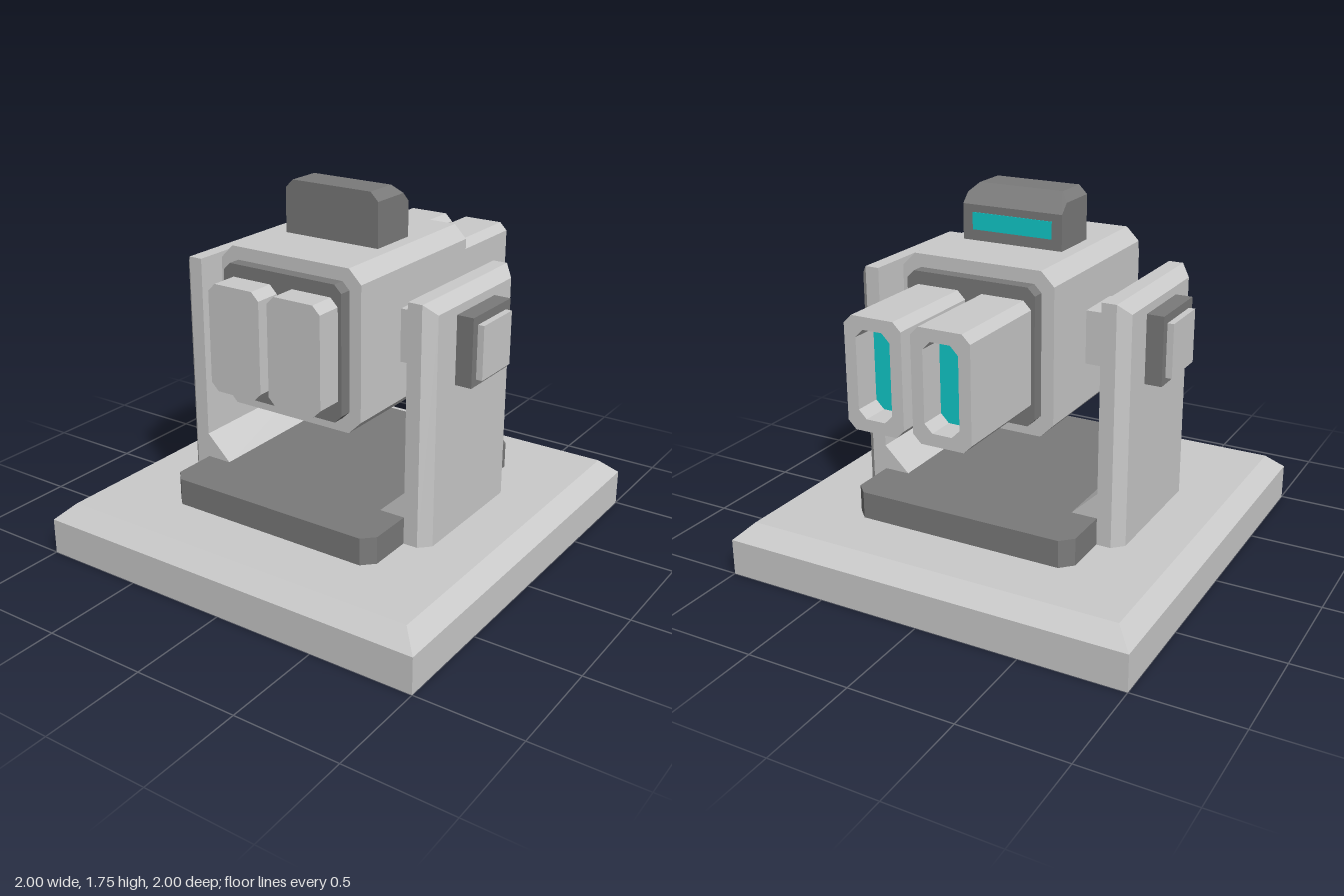
import * as THREE from 'three';
import { ConvexGeometry } from 'three/addons/geometries/ConvexGeometry.js';

const mat = (color) => new THREE.MeshStandardMaterial({ color, flatShading: true });

// rectangle with chamfered corners, traced into a Shape or Path
function octagon(target, cx, cy, w, h, c) {
  const x = w / 2, y = h / 2;
  const pts = [[-x + c, -y], [x - c, -y], [x, -y + c], [x, y - c], [x - c, y], [-x + c, y], [-x, y - c], [-x, -y + c]];
  return target.setFromPoints(pts.map(([a, b]) => new THREE.Vector2(cx + a, cy + b)));
}

// extrusion along z between z0 and z1
function prism(shape, z0, z1) {
  return new THREE.ExtrudeGeometry(shape, { depth: z1 - z0, bevelEnabled: false }).translate(0, 0, z0);
}

const hull = (pts) => new ConvexGeometry(pts.map((p) => new THREE.Vector3(...p)));

export function createModel() {
  const group = new THREE.Group();
  const light = mat(0xcccccc), dark = mat(0x7b7b7b), glow = mat(0x11cccc);

  const add = (name, geometry, material, parent = group) => {
    const mesh = new THREE.Mesh(geometry, material);
    mesh.name = name;
    parent.add(mesh);
    return mesh;
  };
  const box = (name, x0, x1, y0, y1, z0, z1, material, parent) =>
    add(name, new THREE.BoxGeometry(x1 - x0, y1 - y0, z1 - z0)
      .translate((x0 + x1) / 2, (y0 + y1) / 2, (z0 + z1) / 2), material, parent);

  // square base with a sloped top rim
  const basePts = [];
  for (const [r, y] of [[1, 0], [1, 0.175], [0.92, 0.25]])
    for (const sx of [-1, 1]) for (const sz of [-1, 1]) basePts.push([sx * r, y, sz * r]);
  add('base', hull(basePts), light);

  // dark floor plate with clipped corners
  const plate = prism(octagon(new THREE.Shape(), 0, 0, 1.12, 1.28, 0.055), 0.25, 0.38);
  add('floorPlate', plate.rotateX(-Math.PI / 2), dark);

  // head, collar and sensor housing
  add('head', prism(octagon(new THREE.Shape(), 0, 1.125, 0.75, 0.75, 0.063), -0.44, 0.44), light);
  add('collar', prism(octagon(new THREE.Shape(), 0, 1.127, 0.63, 0.625, 0.035), -0.5, 0.5), dark);
  const housing = [];
  for (const s of [-1, 1]) {
    housing.push(
      [s * 0.25, 1.5, 0.125], [s * 0.25, 1.71, 0.125], [s * 0.21, 1.75, 0.125],
      [s * 0.25, 1.5, -0.125], [s * 0.25, 1.665, -0.125],
      [s * 0.25, 1.71, -0.08], [s * 0.21, 1.75, -0.04]);
  }
  add('sensorHousing', hull(housing), dark);
  box('sensorStrip', -0.2, 0.2, 1.55, 1.63, -0.128, -0.1, glow);

  for (const s of [-1, 1]) {
    const side = s > 0 ? 'left' : 'right';

    // barrel: solid body, then a slotted muzzle with a glowing floor
    const barrel = new THREE.Group();
    barrel.name = side + 'Barrel';
    group.add(barrel);
    const cx = s * 0.16;
    const outline = () => octagon(new THREE.Shape(), cx, 1.13, 0.275, 0.5, 0.037);
    const slot = (target) => octagon(target, cx, 1.13, 0.165, 0.39, 0.037);
    add('barrelBody', prism(outline(), -0.87, 0.63), light, barrel);
    const muzzle = outline();
    muzzle.holes.push(slot(new THREE.Path()));
    add('muzzle', prism(muzzle, -1, -0.87), light, barrel);
    add('muzzleGlow', prism(slot(new THREE.Shape()), -0.873, -0.868), glow, barrel);

    // support arm, bevelled around its outer face
    const arm = new THREE.Group();
    arm.name = side + 'Arm';
    group.add(arm);
    const post = [];
    for (const [x, z, top] of [[0.56, 0.37, 1.38], [0.63, 0.37, 1.38], [0.68, 0.32, 1.33]])
      for (const sz of [-1, 1]) post.push([s * x, 0.25, sz * z], [s * x, top, sz * z]);
    add('post', hull(post), light, arm);

    // gusset at the foot of the arm
    const gusset = [];
    for (const z of [-0.37, 0.37])
      gusset.push([s * 0.57, 0.25, z], [s * 0.57, 0.5, z], [s * 0.56, 0.5, z], [s * 0.43, 0.375, z], [s * 0.43, 0.25, z]);
    add('gusset', hull(gusset), light, arm);

    // pivot block and axle through the arm
    const span = (a, b) => (s > 0 ? [a, b] : [-b, -a]);
    box('pivotBlock', ...span(0.49, 0.76), 0.97, 1.29, -0.165, 0.165, dark, arm);
    box('axle', ...span(0.36, 0.79), 1, 1.25, -0.125, 0.125, light, arm);
  }
  return group;
}
